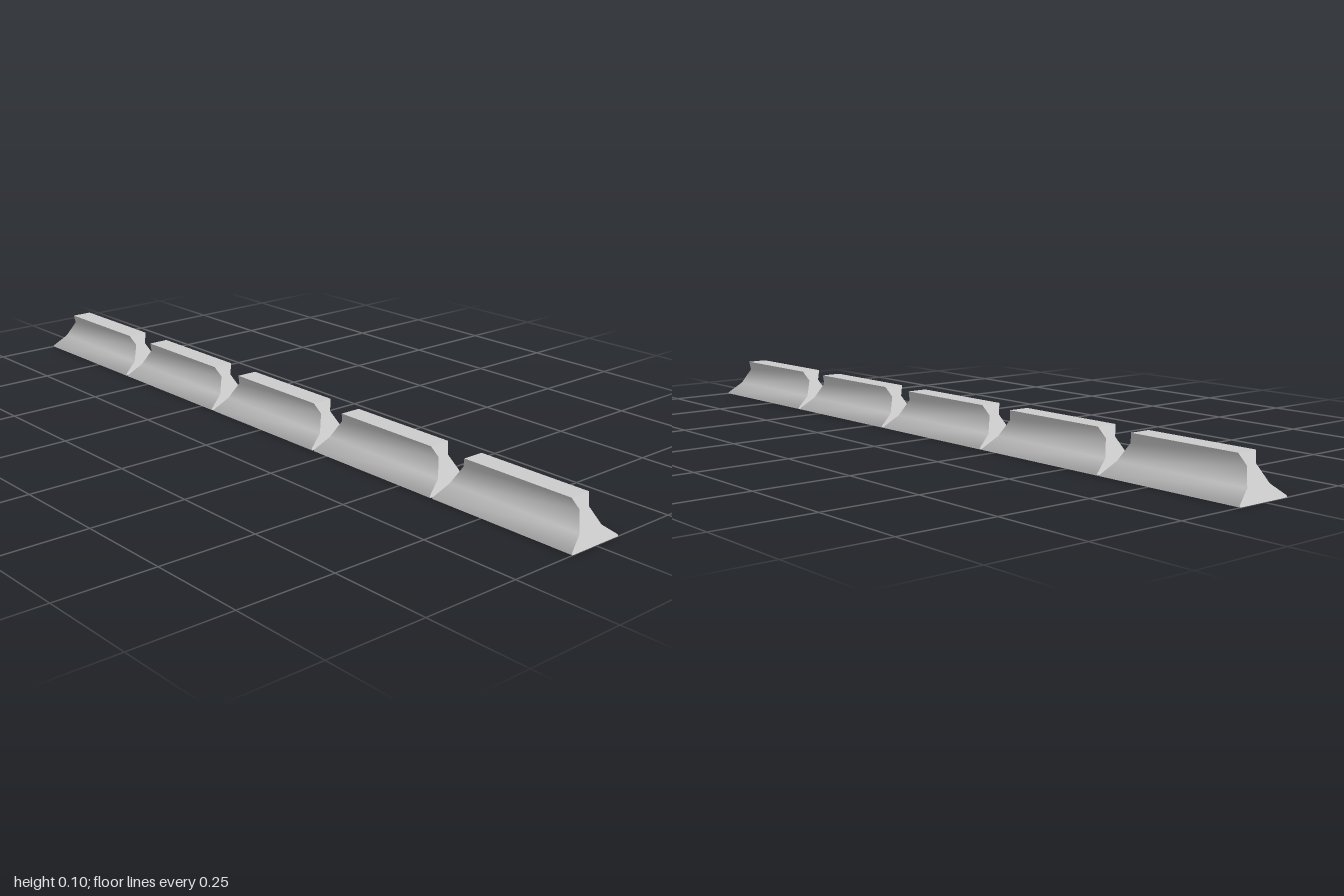
import * as THREE from 'three';
import { toCreasedNormals } from 'three/addons/utils/BufferGeometryUtils.js';

const COUNT = 5, LENGTH = 0.396, PITCH = (2 - LENGTH) / (COUNT - 1);
const END_SLOPE = 0.49; // how far each end leans in per unit of height

// Half of the cross-section, from the foot to the flared cap: [half width, height]
const HALF = [[0.075, 0], [0.075, 0.004], [0.036, 0.032], [0.015, 0.073], [0.028, 0.099]];

function barrierGeometry() {
  const right = HALF.map(([w, h]) => new THREE.Vector2(w, h));
  const left = HALF.map(([w, h]) => new THREE.Vector2(-w, h)).reverse();
  const geometry = new THREE.ExtrudeGeometry(new THREE.Shape([...right, ...left]), {
    depth: 1, bevelEnabled: false,
  });
  geometry.translate(0, 0, -0.5).rotateY(Math.PI / 2);

  // Stretch to length and lean both ends inward with height
  const p = geometry.attributes.position;
  for (let i = 0; i < p.count; i++) {
    p.setX(i, p.getX(i) * (LENGTH - 2 * END_SLOPE * p.getY(i)));
  }
  // Smooth along the flanks, sharp at the cap and ends
  return toCreasedNormals(geometry, 1.0);
}

export function createModel() {
  const group = new THREE.Group();
  group.name = 'barrierRow';
  const geometry = barrierGeometry();
  const material = new THREE.MeshStandardMaterial({ color: 0xcccccc });

  // Identical barriers set end to end with narrow gaps
  for (let i = 0; i < COUNT; i++) {
    const barrier = new THREE.Mesh(geometry, material);
    barrier.name = `barrier${i + 1}`;
    barrier.position.x = (i - (COUNT - 1) / 2) * PITCH;
    group.add(barrier);
  }
  return group;
}
